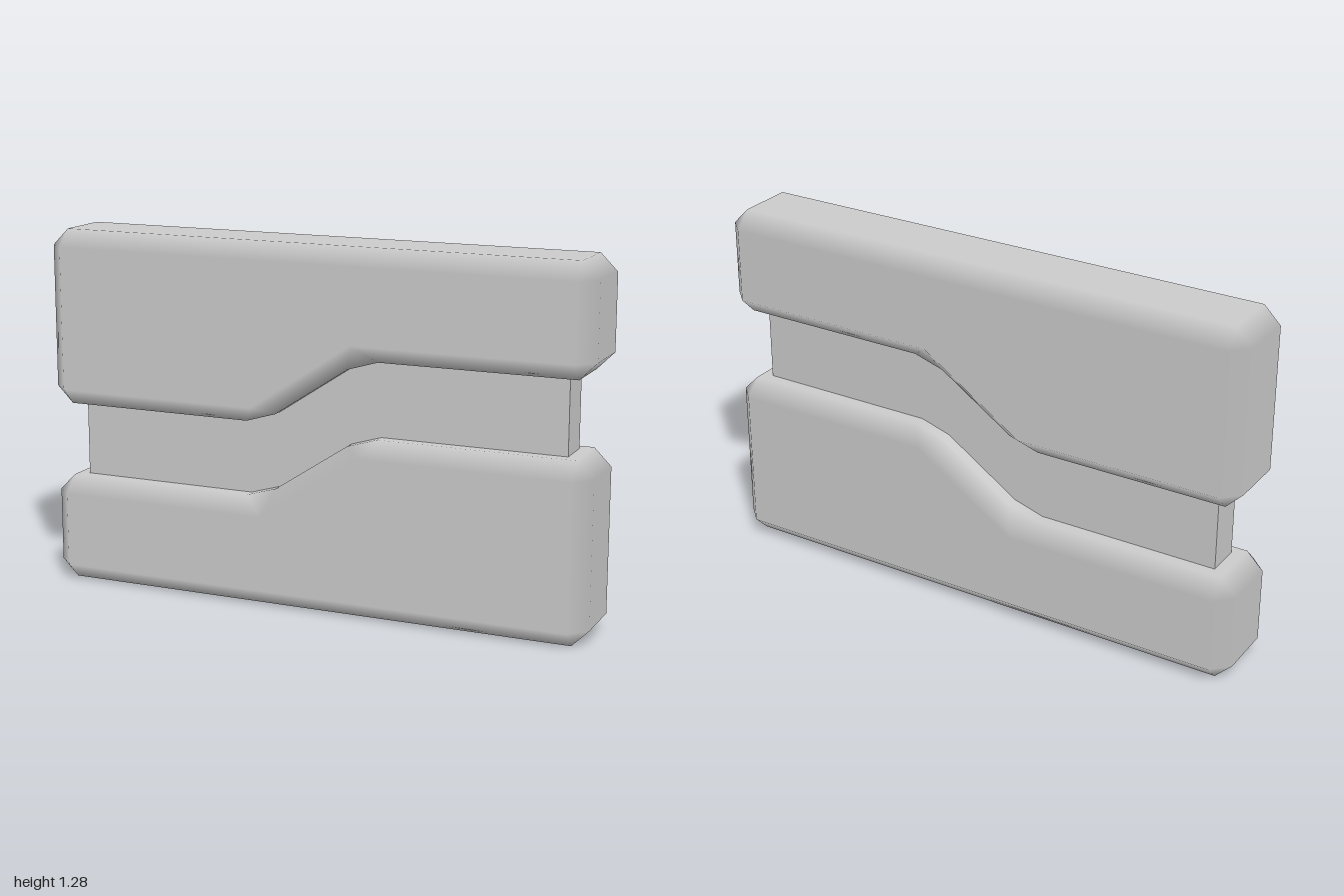
import * as THREE from 'three';

const BEVEL = 0.06, HALF_DEPTH = 0.16, HEIGHT = 1.28;

// Slab cut from a counter-clockwise outline: every edge and corner is chamfered,
// and soft normals keep the flat faces flat while the chamfers read as rounded.
function beveledSlab(points) {
  const corners = points.map(([x, y]) => new THREE.Vector2(x, y));
  const n = corners.length;
  const dirs = corners.map((c, i) => corners[(i + 1) % n].clone().sub(c).normalize());
  const outward = dirs.map((d) => new THREE.Vector2(d.y, -d.x));
  const inner = [], outer = [], outerNormals = [];
  corners.forEach((c, i) => {
    const p = (i + n - 1) % n;
    // Mitred inset of the face, and the two ends of the cut corner on the rim
    const miter = outward[p].clone().add(outward[i]);
    inner.push(c.clone().addScaledVector(miter, -BEVEL / (1 + outward[p].dot(outward[i]))));
    outer.push(c.clone().addScaledVector(dirs[p], -BEVEL), c.clone().addScaledVector(dirs[i], BEVEL));
    outerNormals.push(outward[p], outward[i]);
  });

  const position = [], normal = [], index = [];
  const addInner = (z) => {
    const start = position.length / 3;
    inner.forEach((v) => { position.push(v.x, v.y, z); normal.push(0, 0, Math.sign(z)); });
    return (j) => start + Math.floor((j % (2 * n)) / 2);
  };
  const addOuter = (z) => {
    const start = position.length / 3;
    outer.forEach((v, j) => {
      position.push(v.x, v.y, z);
      normal.push(outerNormals[j].x, outerNormals[j].y, 0);
    });
    return (j) => start + (j % (2 * n));
  };
  const rings = [
    addInner(HALF_DEPTH), addOuter(HALF_DEPTH - BEVEL),
    addOuter(BEVEL - HALF_DEPTH), addInner(-HALF_DEPTH),
  ];

  // Rim and chamfers
  for (let r = 0; r < 3; r++) {
    for (let j = 0; j < 2 * n; j++) {
      const a = rings[r](j), b = rings[r](j + 1);
      const d = rings[r + 1](j), c = rings[r + 1](j + 1);
      if (c !== d) index.push(a, d, c);
      if (a !== b) index.push(a, c, b);
    }
  }
  // Front and back faces
  THREE.ShapeUtils.triangulateShape(inner, []).forEach(([a, b, c]) => {
    index.push(rings[0](2 * a), rings[0](2 * b), rings[0](2 * c));
    index.push(rings[3](2 * a), rings[3](2 * c), rings[3](2 * b));
  });

  const geometry = new THREE.BufferGeometry();
  geometry.setAttribute('position', new THREE.Float32BufferAttribute(position, 3));
  geometry.setAttribute('normal', new THREE.Float32BufferAttribute(normal, 3));
  geometry.setIndex(index);
  return geometry;
}

export function createModel() {
  const group = new THREE.Group();
  const grey = new THREE.MeshStandardMaterial({ color: 0xcccccc });
  grey.name = 'light grey';

  const slab = beveledSlab([
    [-1, 0.65], [-0.185, 0.65], [0.185, 0.895], [1, 0.895], [1, HEIGHT], [-1, HEIGHT],
  ]);

  const upper = new THREE.Mesh(slab, grey);
  upper.name = 'upperBlock';

  // The lower block is the same piece turned half way round
  const lower = new THREE.Mesh(slab, grey);
  lower.name = 'lowerBlock';
  lower.rotation.z = Math.PI;
  lower.position.y = HEIGHT;

  // Thin core joining the two blocks
  const core = new THREE.Mesh(new THREE.BoxGeometry(1.8, 0.68, 0.125), grey);
  core.name = 'corePanel';
  core.position.y = HEIGHT / 2;

  group.add(upper, lower, core);
  return group;
}
